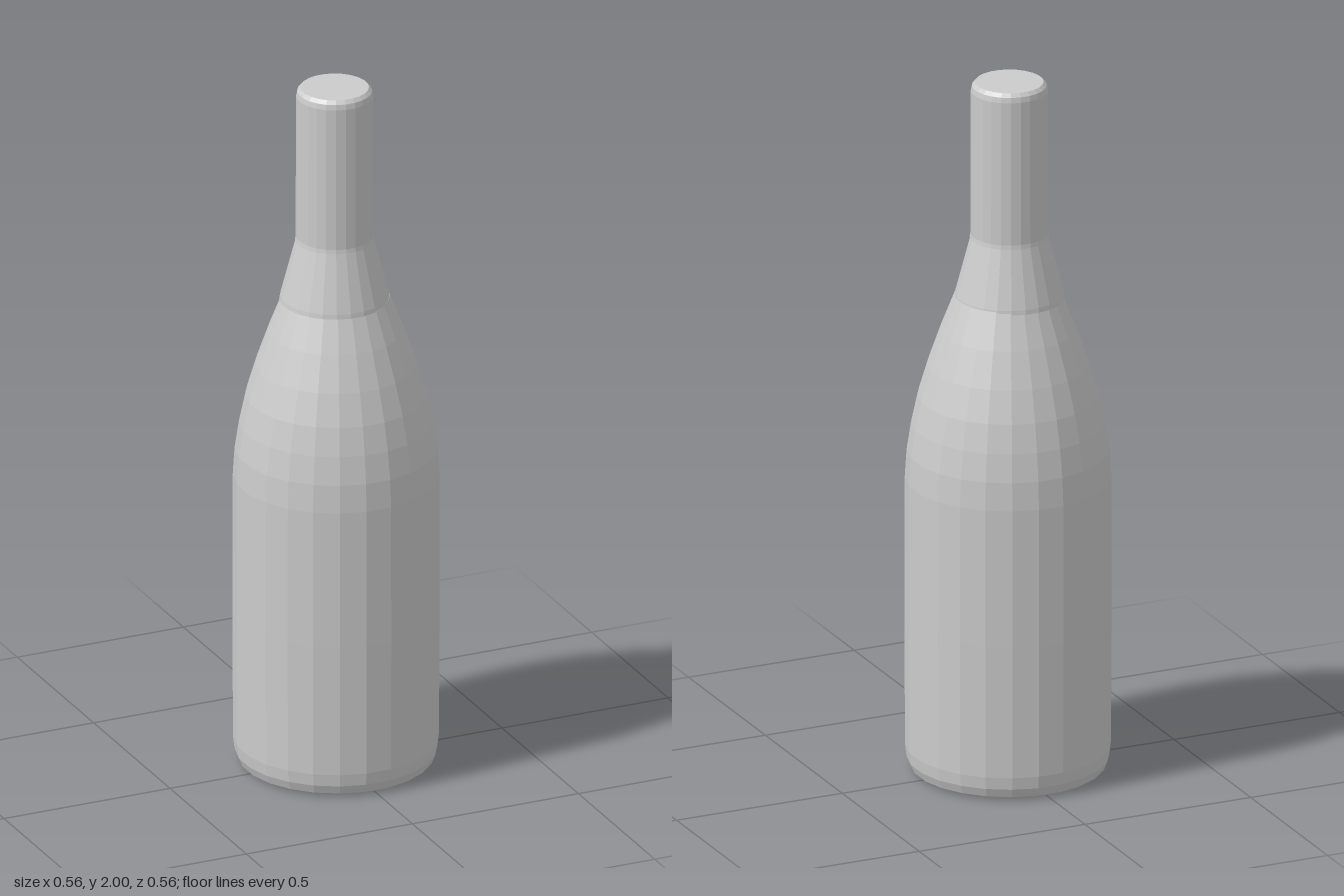
import * as THREE from 'three';

const SIDES = 24;

// Faceted solid of revolution from [radius, height] pairs, bottom to top,
// turned half a facet so that flats face the axes.
function turned(name, profile, offsetX = 0) {
  const points = profile.map(([r, y]) => new THREE.Vector2(r, y));
  const geometry = new THREE.LatheGeometry(points, SIDES, Math.PI / SIDES);
  const material = new THREE.MeshStandardMaterial({ color: 0xcccccc, flatShading: true });
  const mesh = new THREE.Mesh(geometry, material);
  mesh.name = name;
  mesh.position.x = offsetX;
  return mesh;
}

export function createModel() {
  const bottle = new THREE.Group();
  bottle.name = 'bottle';

  // Body: flat base with rounded rim, straight wall, curved shoulder
  bottle.add(turned('body', [
    [0, 0], [0.252, 0], [0.268, 0.01], [0.278, 0.035], [0.282, 0.07],
    [0.284, 0.45], [0.283, 0.85], [0.278, 0.93], [0.266, 1.01],
    [0.249, 1.09], [0.222, 1.18], [0.187, 1.28], [0.148, 1.38], [0, 1.38],
  ]));

  // Tapered collar, its lower lip slightly proud of the shoulder
  bottle.add(turned('collar', [
    [0, 1.372], [0.152, 1.372], [0.150, 1.385], [0.106, 1.553], [0, 1.553],
  ], -0.004));

  // Neck wrap with a chamfered, closed top
  bottle.add(turned('neck', [
    [0, 1.548], [0.109, 1.548], [0.107, 1.56], [0.106, 1.975],
    [0.103, 1.99], [0.094, 2], [0, 2],
  ], -0.004));

  return bottle;
}
